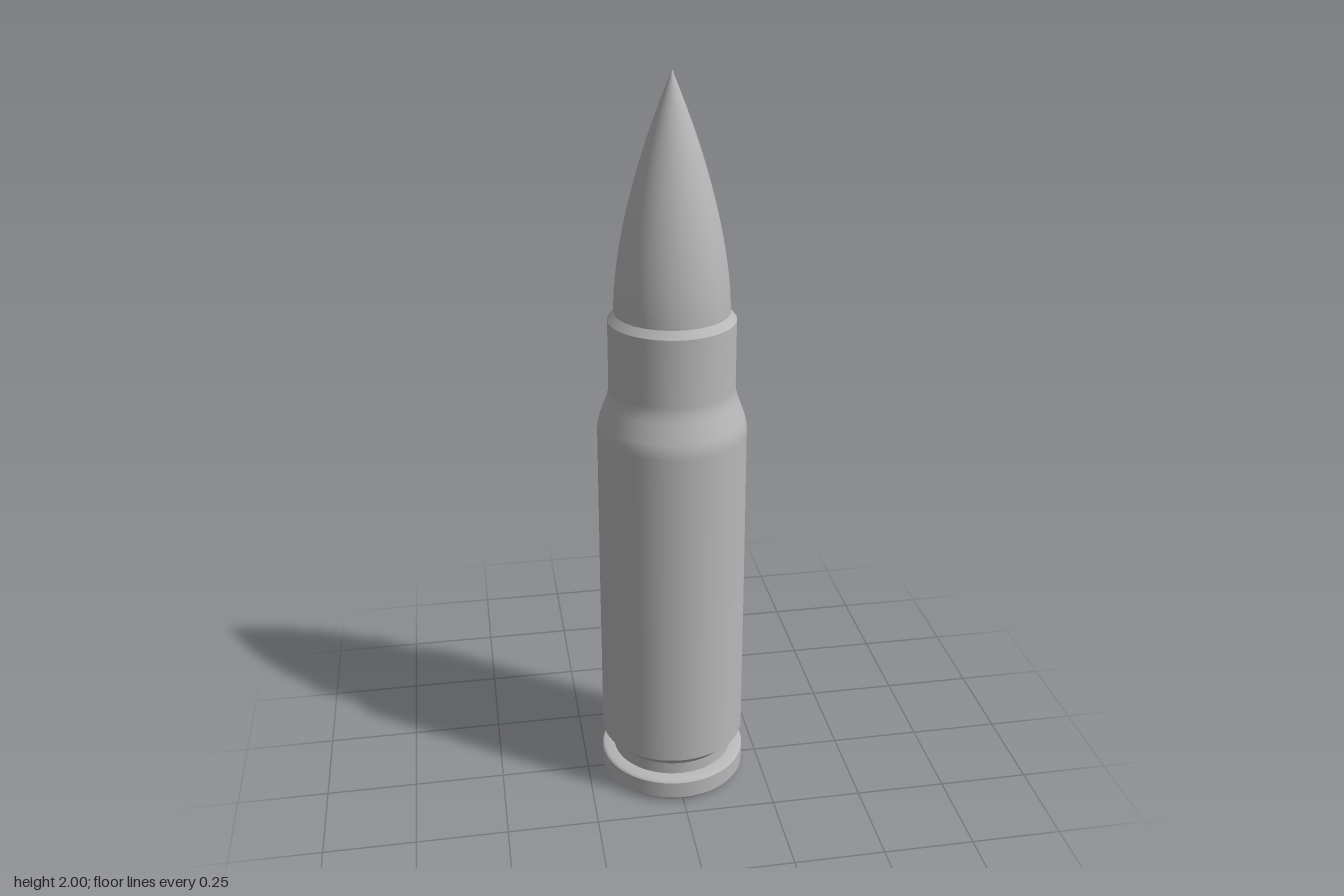
import * as THREE from 'three';

const SEGMENTS = 96;

export function createModel() {
  const model = new THREE.Group();
  model.name = 'cartridge';
  const metal = new THREE.MeshStandardMaterial({ color: 0xb8b8b8 });
  metal.name = 'grey metal';

  // Turned surface from [radius, height] pairs, bottom to top; smooth within itself
  function turned(parent, name, points) {
    const profile = points.map(([r, y]) => new THREE.Vector2(r, y));
    const mesh = new THREE.Mesh(new THREE.LatheGeometry(profile, SEGMENTS), metal);
    mesh.name = name;
    parent.add(mesh);
  }

  function part(name) {
    const group = new THREE.Group();
    group.name = name;
    model.add(group);
    return group;
  }

  // Base rim; each hard edge starts a new surface
  const rim = part('rim');
  turned(rim, 'baseFace', [[0, 0], [0.188, 0]]);
  turned(rim, 'rimLowerBevel', [[0.188, 0], [0.204, 0.016]]);
  turned(rim, 'rimBand', [[0.204, 0.016], [0.204, 0.066]]);
  turned(rim, 'rimTop', [[0.204, 0.066], [0.198, 0.073], [0.17, 0.075]]);

  // Groove above the rim
  const groove = part('groove');
  turned(groove, 'grooveWall', [[0.17, 0.075], [0.17, 0.11]]);
  turned(groove, 'grooveFlare', [[0.17, 0.11], [0.201, 0.143]]);

  // Case body, soft shoulder and neck
  const casing = part('casing');
  turned(casing, 'caseBody', [
    [0.201, 0.143], [0.2, 0.6], [0.198, 1.07], [0.197, 1.09], [0.192, 1.11],
    [0.174, 1.16], [0.168, 1.18], [0.166, 1.2], [0.166, 1.38],
  ]);
  turned(casing, 'neckLip', [[0.166, 1.38], [0.15, 1.4]]);

  // Pointed head with a curved taper and slightly rounded tip
  const ogive = [];
  for (let i = 0; i <= 28; i++) {
    const t = (i / 28) * 0.98;
    ogive.push([0.15 * (1 - Math.pow(t, 1.7)), 1.4 + 0.6 * t]);
  }
  ogive.push([0.003, 1.996], [0, 2]);
  turned(model, 'pointedHead', ogive);

  return model;
}
